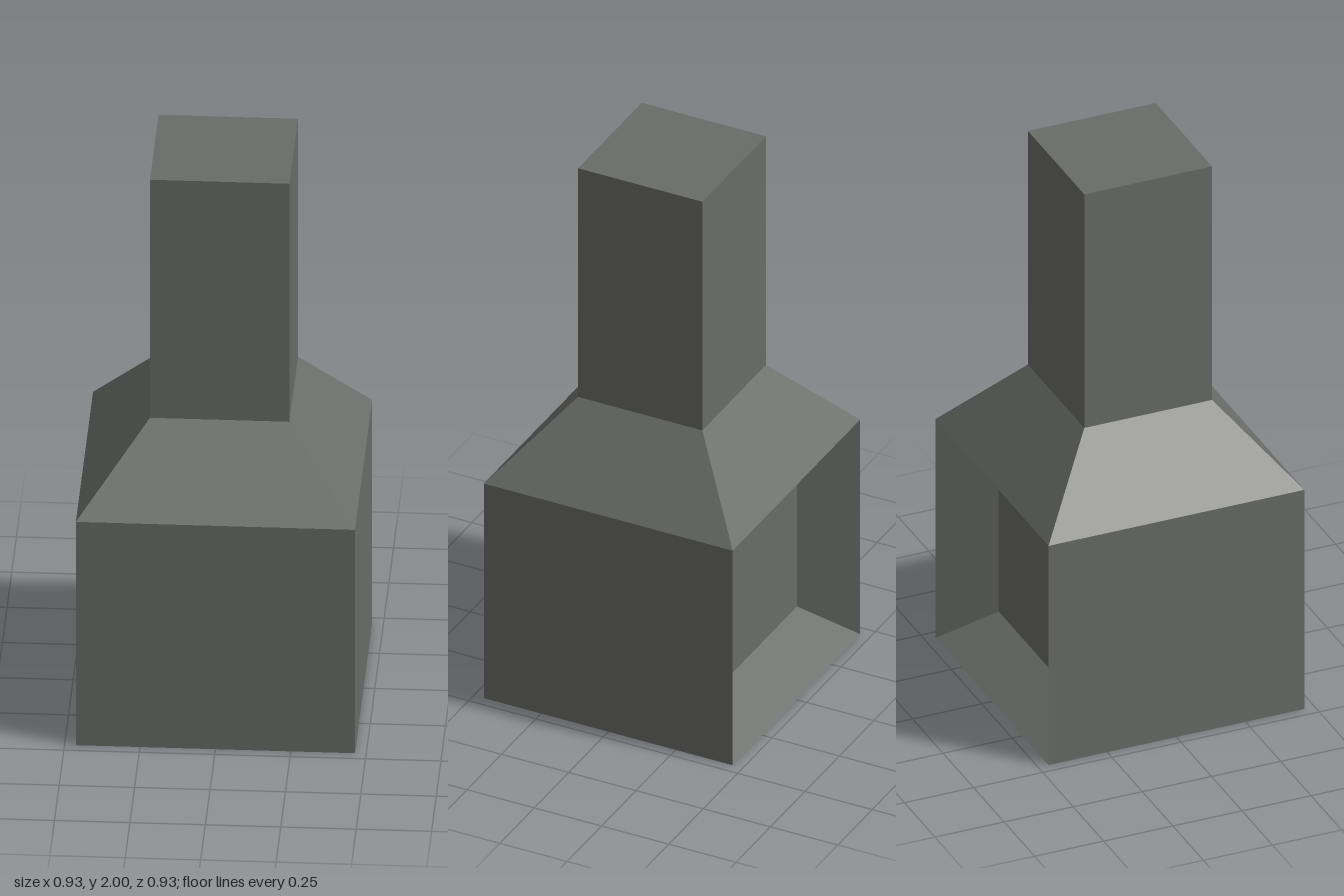
import * as THREE from 'three';

const HALF = 0.4625;      // half width of the body
const NECK = 0.231;       // half width of the chimney
const BODY_TOP = 0.835;
const HOOD_TOP = 1.11;

// Rectangular cross-section at depth z, corners counter-clockwise seen from +z
function section(halfWidth, bottom, top, z) {
  return [
    [-halfWidth, bottom, z], [halfWidth, bottom, z],
    [halfWidth, top, z], [-halfWidth, top, z],
  ];
}

// Joins the sections in order and closes both ends
function loft(sections) {
  const points = [];
  const quad = (a, b, c, d) => points.push(...a, ...b, ...c, ...a, ...c, ...d);
  quad(...sections[0]);
  for (let s = 0; s < sections.length - 1; s++) {
    const a = sections[s], b = sections[s + 1];
    for (let i = 0; i < 4; i++) {
      const j = (i + 1) % 4;
      quad(a[i], b[i], b[j], a[j]);
    }
  }
  quad(...[...sections[sections.length - 1]].reverse());
  const geometry = new THREE.BufferGeometry();
  geometry.setAttribute('position', new THREE.Float32BufferAttribute(points, 3));
  geometry.computeVertexNormals();
  return geometry;
}

// Square tapered block aligned with the axes
function squareBlock(topHalf, bottomHalf, y0, y1, open) {
  const r = Math.SQRT2;
  const geometry = new THREE.CylinderGeometry(topHalf * r, bottomHalf * r, y1 - y0, 4, 1, open);
  geometry.rotateY(Math.PI / 4);
  geometry.translate(0, (y0 + y1) / 2, 0);
  return geometry;
}

export function createModel() {
  const group = new THREE.Group();
  group.name = 'fireplace';
  const stone = new THREE.MeshStandardMaterial({ color: 0x696c68, flatShading: true });
  stone.name = 'greyStone';

  const add = (name, geometry) => {
    const mesh = new THREE.Mesh(geometry, stone);
    mesh.name = name;
    group.add(mesh);
  };

  // Body with a tapered hearth sunk into its back
  add('hearthBody', loft([
    section(HALF, 0, BODY_TOP, HALF),
    section(HALF, 0, BODY_TOP, -HALF),
    section(HALF - 0.097, 0.109, BODY_TOP - 0.112, -HALF + 0.185),
  ]));

  // Sloping hood and chimney
  add('hood', squareBlock(NECK, HALF, BODY_TOP, HOOD_TOP, true));
  add('chimney', squareBlock(NECK, NECK, HOOD_TOP, 2, false));

  return group;
}
